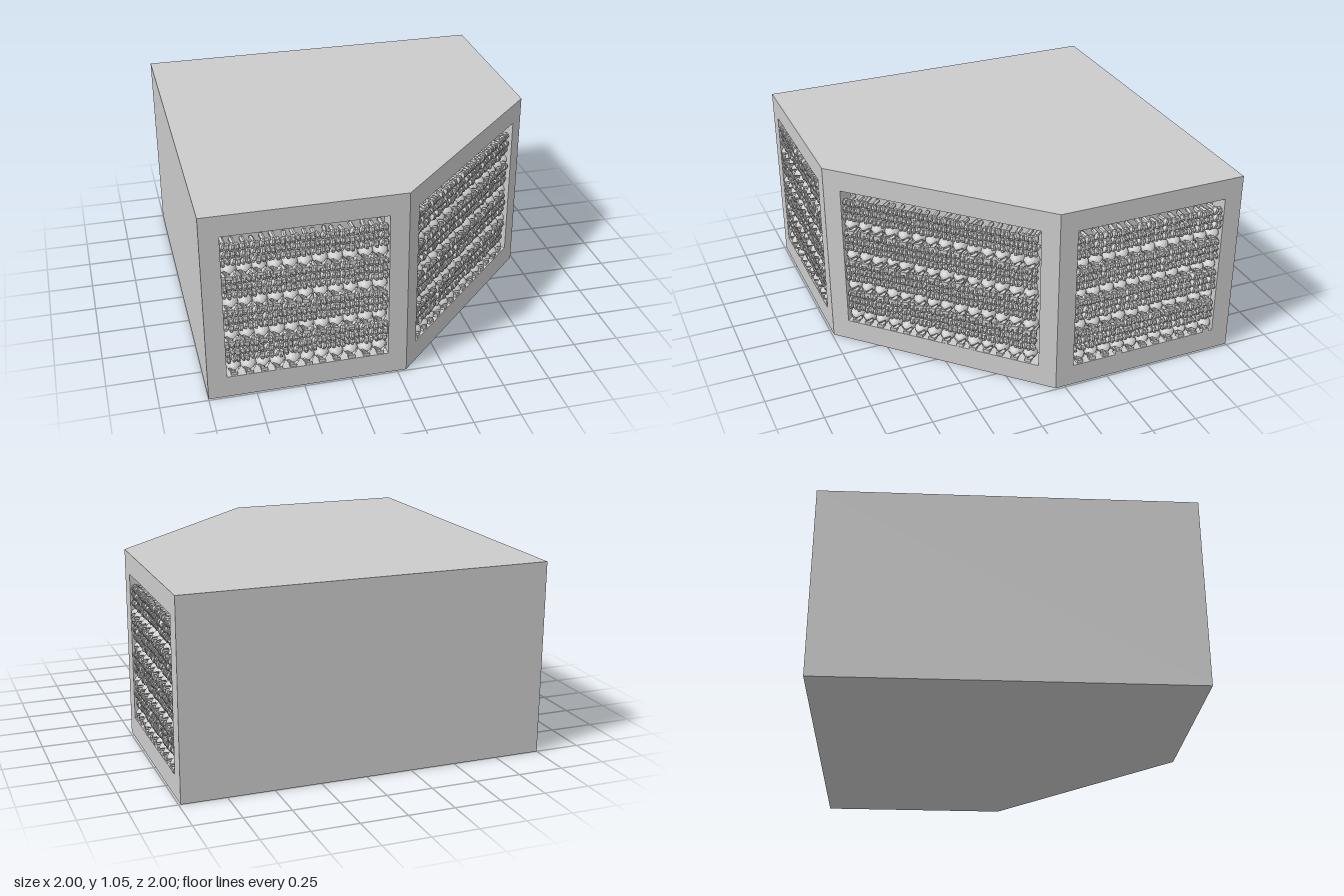
import * as THREE from 'three';
import { mergeGeometries } from 'three/addons/utils/BufferGeometryUtils.js';

const HEIGHT = 1.055, DEPTH = 0.11, MARGIN = 0.1, SILL = 0.12, LINTEL = 0.94;
// Footprint corners [x, z], running left to right as each wall is seen from outside
const CORNERS = [[-1, 0.99], [0.05, 0.99], [0.99, 0.05], [0.99, -1], [-1, -1]];
const NICHE_WALLS = ['front', 'diagonal', 'right', null, null];

const stone = new THREE.MeshStandardMaterial({ color: 0xcccccc });
const inside = new THREE.MeshStandardMaterial({ color: 0xcccccc, side: THREE.BackSide });
const bone = new THREE.MeshStandardMaterial({ color: 0xcccccc, flatShading: true });

let seed = 7;
function rand() {
  seed = (seed * 16807) % 2147483647;
  return seed / 2147483647;
}
const jitter = (amount) => (rand() - 0.5) * 2 * amount;

function named(name, geometry, material) {
  const mesh = new THREE.Mesh(geometry, material);
  mesh.name = name;
  return mesh;
}

// Skull facing +z: a squashed dome with hollow eyes and nose, plus a jaw block
function skullGeometry() {
  const head = new THREE.SphereGeometry(1, 14, 9, 0, Math.PI * 2, 0, 2.1).rotateX(Math.PI / 2);
  const p = head.attributes.position;
  for (let i = 0; i < p.count; i++) {
    let x = p.getX(i), y = p.getY(i), z = p.getZ(i);
    const eye = Math.hypot(Math.abs(x) - 0.4, y + 0.12) < 0.29;
    const nose = Math.hypot(x, y + 0.5) < 0.18;
    if (z > 0 && eye) z -= 0.6;
    if (z > 0 && nose) z -= 0.35;
    if (y < 0) x *= 1 + 0.35 * y;
    p.setXYZ(i, x * 0.041, y * 0.038, z * 0.05);
  }
  const jaw = new THREE.BoxGeometry(0.036, 0.018, 0.03).translate(0, -0.03, 0.026);
  return mergeGeometries([head, jaw]);
}

// Long bone lying along z: a shaft ending in two knuckles
function longBoneGeometry() {
  const shaft = new THREE.CylinderGeometry(0.013, 0.012, 0.09, 6, 1, true)
    .rotateX(Math.PI / 2).translate(0, 0, -0.05);
  const knuckles = [-1, 1].map((side) => new THREE.SphereGeometry(1, 6, 4)
    .scale(0.0145, 0.023, 0.022).rotateZ(side * 0.15).translate(side * 0.0125, 0, -0.02));
  return mergeGeometries([shaft, ...knuckles]);
}

// A row of copies between u0 and u1, each slightly turned and shifted
function addRow(list, source, u0, u1, spacing, y, z, turn) {
  const count = Math.round((u1 - u0) / spacing);
  const step = (u1 - u0) / count;
  for (let i = 0; i < count; i++) {
    const size = 1 + jitter(0.06);
    const m = new THREE.Matrix4().compose(
      new THREE.Vector3(u0 + (i + 0.5) * step + jitter(0.002), y + jitter(0.002), z + jitter(0.004)),
      new THREE.Quaternion().setFromEuler(new THREE.Euler(jitter(0.08), jitter(0.12), jitter(turn))),
      new THREE.Vector3(size, size, size));
    list.push(source.clone().applyMatrix4(m));
  }
}

// Four courses, each one row of skulls below three rows of bone ends
function bonePile(u0, u1) {
  const group = new THREE.Group();
  group.name = 'bonePile';
  const skulls = [], bones = [], skull = skullGeometry(), longBone = longBoneGeometry();
  for (let course = 0; course < 4; course++) {
    const y = SILL + course * 0.19;
    addRow(skulls, skull, u0, u1, 0.077, y + 0.038, -0.045, 0.08);
    for (let row = 0; row < 3; row++) {
      addRow(bones, longBone, u0, u1, 0.05, y + 0.094 + row * 0.042, -0.002, 0.35);
    }
  }
  group.add(named('skulls', mergeGeometries(skulls), bone));
  group.add(named('longBones', mergeGeometries(bones), bone));
  return group;
}

// Recess lining without its open front
function nicheLining(u0, u1) {
  const box = new THREE.BoxGeometry(u1 - u0, LINTEL - SILL, DEPTH);
  const index = Array.from(box.index.array);
  index.splice(24, 6);
  box.setIndex(index);
  box.clearGroups();
  return box.translate((u0 + u1) / 2, (SILL + LINTEL) / 2, -DEPTH / 2);
}

function rectangle(path, x0, y0, x1, y1) {
  path.moveTo(x0, y0).lineTo(x1, y0).lineTo(x1, y1).lineTo(x0, y1).closePath();
  return path;
}

function wall(a, b, niche) {
  const dx = b[0] - a[0], dz = b[1] - a[1], length = Math.hypot(dx, dz);
  const group = new THREE.Group();
  group.position.set(a[0], 0, a[1]);
  group.rotation.y = Math.atan2(-dz, dx);
  group.name = niche ? niche + 'Wall' : 'plainWall';
  const shape = rectangle(new THREE.Shape(), 0, 0, length, HEIGHT);
  if (niche) {
    const u0 = MARGIN, u1 = length - MARGIN;
    shape.holes.push(rectangle(new THREE.Path(), u0, SILL, u1, LINTEL));
    group.add(named('nicheLining', nicheLining(u0, u1), inside));
    group.add(bonePile(u0 + 0.002, u1 - (niche === 'diagonal' ? 0.025 : 0.002)));
  }
  group.add(named('wallFace', new THREE.ShapeGeometry(shape), stone));
  return group;
}

// Horizontal slab face over the footprint, facing up (1) or down (-1)
function cap(facing) {
  const shape = new THREE.Shape(CORNERS.map(([x, z]) => new THREE.Vector2(x, -facing * z)));
  return new THREE.ShapeGeometry(shape).rotateX(-facing * Math.PI / 2);
}

export function createModel() {
  seed = 7;
  const model = new THREE.Group();
  model.name = 'ossuaryCorner';
  const roof = named('roof', cap(1), stone);
  roof.position.y = HEIGHT;
  model.add(roof, named('base', cap(-1), stone));
  CORNERS.forEach((corner, i) => {
    model.add(wall(corner, CORNERS[(i + 1) % CORNERS.length], NICHE_WALLS[i]));
  });
  return model;
}
